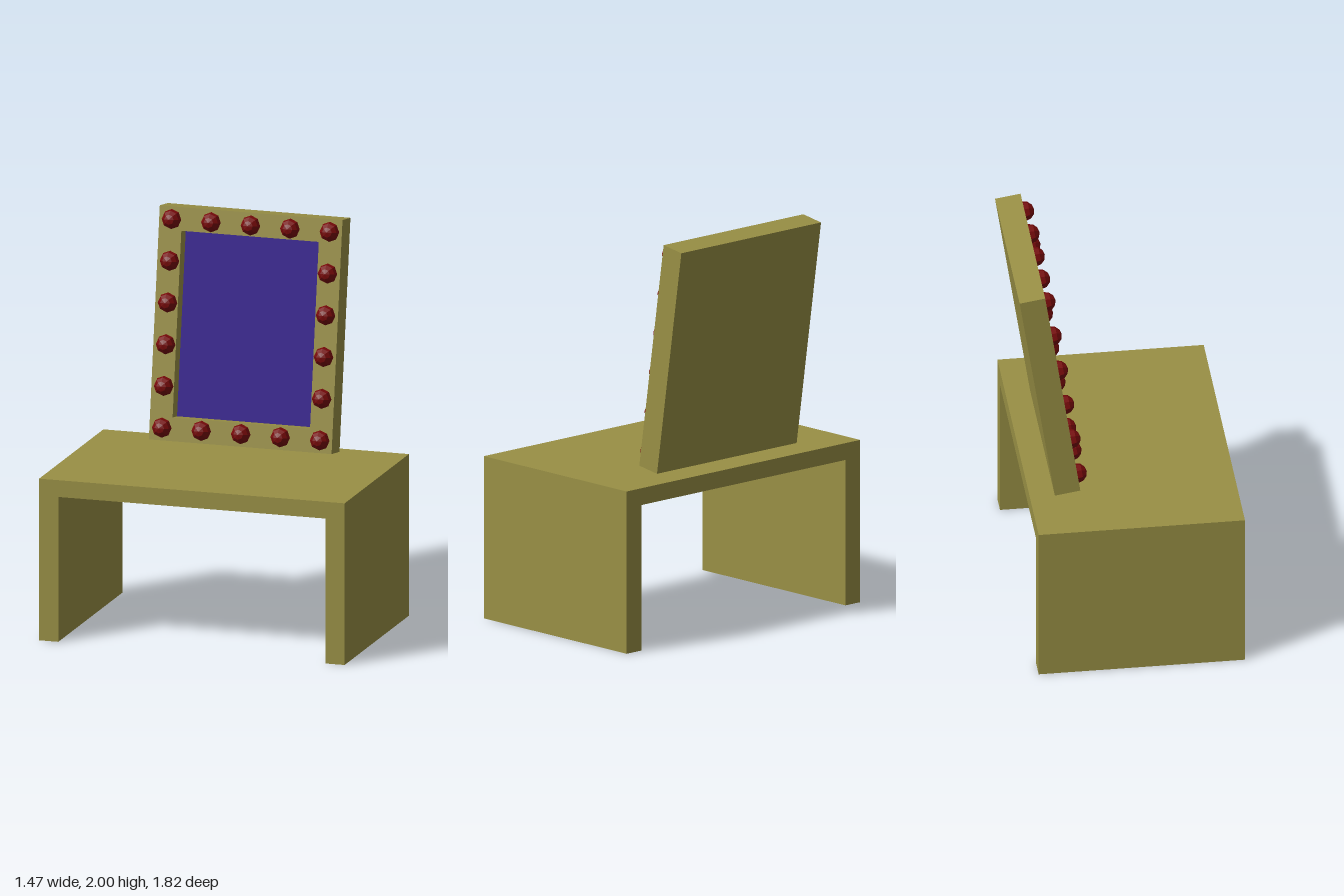
import * as THREE from 'three';

const olive = new THREE.MeshStandardMaterial({ color: 0x999045, flatShading: true });
const blue = new THREE.MeshStandardMaterial({ color: 0x2c0a8c, side: THREE.DoubleSide });
const red = new THREE.MeshStandardMaterial({ color: 0x780a0a, flatShading: true });

function part(name, geometry, material, parent) {
  const mesh = new THREE.Mesh(geometry, material);
  mesh.name = name;
  parent.add(mesh);
  return mesh;
}

// Extrudes a profile drawn in (z, y) along -x, starting at x = startX
function extrudeAcross(shape, depth, startX) {
  return new THREE.ExtrudeGeometry(shape, { depth, bevelEnabled: false })
    .rotateY(-Math.PI / 2)
    .translate(startX, 0, 0);
}

function rectangle(Type, halfW, halfH) {
  return new Type([
    new THREE.Vector2(-halfW, -halfH), new THREE.Vector2(halfW, -halfH),
    new THREE.Vector2(halfW, halfH), new THREE.Vector2(-halfW, halfH),
  ]);
}

export function createModel() {
  const model = new THREE.Group();
  model.name = 'vanityTable';
  const turned = new THREE.Group();
  turned.name = 'turnedTable';
  turned.rotation.y = 0.322;
  model.add(turned);

  // Table: one arch of top and two end panels
  const W = 1.022, L = 0.789, H = 0.82, inner = 0.69, under = 0.735;
  const arch = new THREE.Shape([
    [-L, 0], [-inner, 0], [-inner, under], [inner, under],
    [inner, 0], [L, 0], [L, H], [-L, H],
  ].map(([z, y]) => new THREE.Vector2(z, y)));
  part('table', extrudeAcross(arch, W, W / 2), olive, turned);

  // Mirror leaning back towards +x, its glass facing -x
  const mirror = new THREE.Group();
  mirror.name = 'mirror';
  mirror.position.set(0.414, 1.4175, -0.002);
  mirror.rotation.z = -0.151;
  turned.add(mirror);

  const halfT = 0.064, halfW = 0.472, halfH = 0.579, border = 0.117, recess = 0.074;
  const floor = -halfT + recess;
  const frame = rectangle(THREE.Shape, halfW, halfH);
  frame.holes.push(rectangle(THREE.Path, halfW - border, halfH - border));
  part('mirrorFrame', extrudeAcross(frame, recess, floor), olive, mirror);

  const backT = halfT - floor;
  part('mirrorBack', new THREE.BoxGeometry(backT, halfH * 2, halfW * 2), olive, mirror)
    .position.x = floor + backT / 2;

  const glass = new THREE.PlaneGeometry((halfW - border) * 2, (halfH - border) * 2).rotateY(-Math.PI / 2);
  part('mirrorGlass', glass, blue, mirror).position.x = floor - 0.002;

  // Bulbs: half spheres around the frame, five across and six up
  const bulb = new THREE.SphereGeometry(0.05, 8, 3, 0, Math.PI * 2, 0, Math.PI / 2).rotateZ(Math.PI / 2);
  const spanZ = 0.408, spanY = 0.516;
  const addBulb = (y, z) => part('bulb', bulb, red, mirror).position.set(-halfT, y, z);
  for (const side of [-1, 1]) {
    for (let i = 0; i < 5; i++) addBulb(side * spanY, spanZ * (i / 2 - 1));
    for (let i = 1; i < 5; i++) addBulb(spanY * (i * 0.4 - 1), side * spanZ);
  }
  return model;
}
